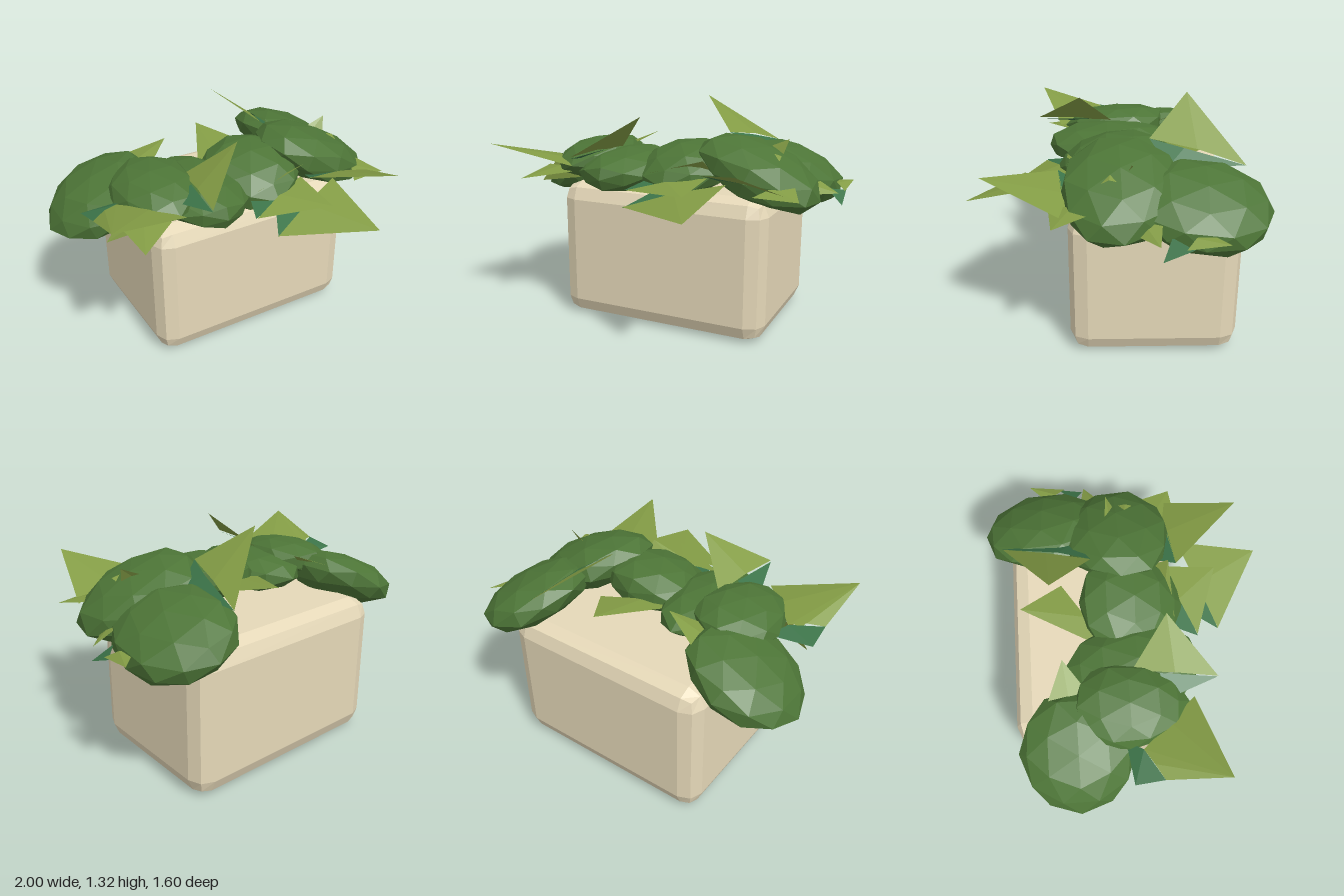
import * as THREE from 'three';
import { RoundedBoxGeometry } from 'three/addons/geometries/RoundedBoxGeometry.js';

const flat = (name, color, side = THREE.FrontSide) => {
  const m = new THREE.MeshStandardMaterial({ color, flatShading: true, side });
  m.name = name;
  return m;
};

export function createModel() {
  const group = new THREE.Group();
  const stone = flat('stone', 0xe5d8b8);
  const foliage = flat('foliage green', 0x4d7537);
  const lightLeaf = flat('light leaf', 0x839c45, THREE.DoubleSide);
  const tealLeaf = flat('teal leaf', 0x3c7449, THREE.DoubleSide);

  const add = (name, geometry, material) => {
    const mesh = new THREE.Mesh(geometry, material);
    mesh.name = name;
    group.add(mesh);
    return mesh;
  };

  // Planter block with single-step bevels
  add('planter', new RoundedBoxGeometry(1.278, 0.83, 0.92, 1, 0.1), stone)
    .position.set(0.048, 0.415, -0.205);

  // Flattened faceted clump, roughened by a rule on the vertex direction
  const clump = (name, centre, radii, tiltX, tiltZ) => {
    const g = new THREE.IcosahedronGeometry(1.02, 1);
    const p = g.attributes.position;
    const v = new THREE.Vector3();
    for (let i = 0; i < p.count; i++) {
      v.fromBufferAttribute(p, i);
      const bump = Math.sin(v.x * 7 + centre[0] * 9) * Math.sin(v.y * 6 + 1) * Math.sin(v.z * 8 + centre[2] * 5);
      v.multiplyScalar(1 + 0.07 * bump);
      p.setXYZ(i, v.x, v.y, v.z);
    }
    g.scale(...radii);
    g.computeVertexNormals();
    const mesh = add(name, g, foliage);
    mesh.position.set(...centre);
    mesh.rotation.set(tiltX, 0, tiltZ);
  };
  clump('clumpBackLeft', [0.665, 0.89, -0.435], [0.3, 0.14, 0.365], -0.1, -0.42);
  clump('clumpFrontLeft', [0.575, 0.945, -0.025], [0.365, 0.15, 0.32], 0.05, -0.4);
  clump('clumpMiddle', [0.13, 0.94, 0.02], [0.29, 0.145, 0.3], 0.2, 0.12);
  clump('clumpMiddleLow', [-0.235, 0.917, 0.03], [0.25, 0.12, 0.37], 0.06, 0);
  clump('clumpFrontRight', [-0.475, 0.96, -0.03], [0.235, 0.115, 0.31], 0.05, 0.15);
  clump('clumpBackRight', [-0.675, 0.847, -0.32], [0.335, 0.14, 0.315], 0.05, 0.42);

  const sheet = (name, points, material) => {
    const g = new THREE.BufferGeometry();
    g.setAttribute('position', new THREE.Float32BufferAttribute(points.flat(), 3));
    g.computeVertexNormals();
    add(name, g, material);
  };
  // Folded leaf: pale blade from tip to corners a and b, with an optional teal back panel
  const leaf = (tip, a, b, panel) => {
    const mid = a.map((c, i) => (c + b[i]) / 2 + (i === 1 ? 0.015 : 0));
    sheet('leafBlade', [tip, a, mid, tip, mid, b], lightLeaf);
    if (panel) sheet('leafBack', panel, tealLeaf);
  };

  // Leaves at the right end
  leaf([-0.92, 1.07, 0.47], [-0.72, 0.96, 0.03], [-0.45, 0.95, 0.33]);
  leaf([-0.92, 1.07, 0.47], [-0.89, 0.96, 0.13], [-0.72, 0.96, 0.03],
    [[-0.9, 0.93, -0.03], [-0.89, 0.96, 0.13], [-0.72, 0.96, 0.03],
      [-0.9, 0.93, -0.03], [-0.72, 0.96, 0.03], [-0.66, 0.92, -0.06]]);
  leaf([-0.74, 0.87, 0.43], [-0.76, 0.9, 0.1], [-0.5, 0.9, 0.25]);
  leaf([-0.23, 1.08, -0.37], [-0.43, 1.0, -0.46], [-0.4, 0.98, -0.24]);
  leaf([-0.82, 0.79, 0.1], [-0.72, 0.92, 0.1], [-0.5, 0.85, 0.16]);

  // Upright leaf over the middle right
  leaf([-0.07, 1.24, 0.2], [-0.37, 1.03, 0.46], [-0.3, 1.02, 0],
    [[-0.37, 1.02, 0.46], [-0.33, 1.03, 0.15], [-0.47, 0.97, 0.15]]);

  // Tall leaves at the back
  leaf([0.1, 1.32, -0.4], [0.48, 1.03, -0.68], [0.33, 1.13, -0.18],
    [[0.48, 1.03, -0.68], [0.4, 1.1, -0.36], [0.49, 1.03, -0.27],
      [0.4, 1.1, -0.36], [0.33, 1.13, -0.18], [0.49, 1.03, -0.27]]);
  leaf([0.1, 1.03, -0.59], [-0.15, 0.93, -0.1], [0.25, 0.98, -0.36]);

  // Leaves reaching out over the front
  leaf([0.67, 1.05, 0.68], [0.35, 0.96, 0.31], [0.81, 0.87, 0.24],
    [[0.35, 0.96, 0.31], [0.6, 0.93, 0.28], [0.42, 0.9, 0.15]]);
  leaf([0.46, 0.83, 0.8], [-0.01, 0.8, 0.53], [0.5, 0.93, 0.33],
    [[-0.01, 0.795, 0.53], [0.24, 0.85, 0.45], [0.12, 0.88, 0.3]]);
  leaf([0.34, 0.89, 0.54], [-0.06, 0.86, 0.4], [0.35, 0.93, 0.22],
    [[-0.07, 0.86, 0.4], [0.14, 0.89, 0.33], [0, 0.9, 0.22]]);
  leaf([0.34, 1.03, 0.26], [0.02, 0.94, 0.27], [0.35, 0.97, 0.18]);

  // Leaves at the left end
  leaf([0.89, 0.87, 0.32], [0.8, 0.92, 0.1], [0.65, 0.88, 0.35]);
  leaf([1, 0.84, -0.53], [0.88, 0.85, -0.42], [0.99, 0.81, -0.32],
    [[1, 0.75, -0.21], [0.99, 0.81, -0.36], [0.9, 0.83, -0.26]]);
  leaf([0.98, 0.82, -0.2], [0.8, 0.83, -0.02], [0.83, 0.9, -0.22]);
  leaf([0.72, 1.13, -0.07], [0.56, 1.06, -0.09], [0.69, 1.02, -0.02]);
  leaf([0.63, 1.07, 0.03], [0.71, 1.03, 0.08], [0.71, 1.04, 0.0]);

  return group;
}
